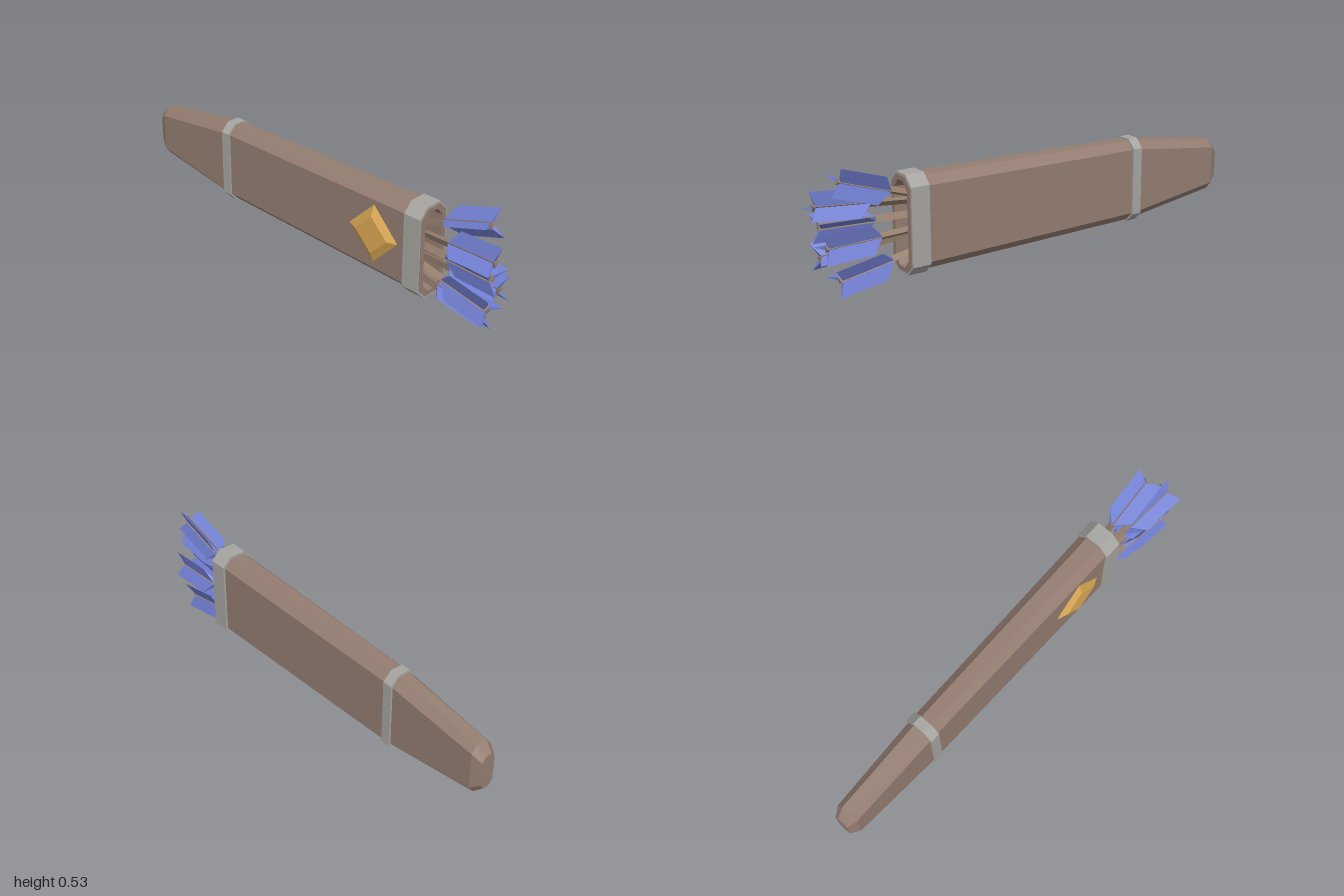
import * as THREE from 'three';

const mat = (name, color, side = THREE.FrontSide) =>
  Object.assign(new THREE.MeshStandardMaterial({ color, side, flatShading: true }), { name });

const CY = 0.246, CZ = -0.021; // centre line of the case

// Chamfered-rectangle ring at x, anticlockwise seen from +x
function ring([x, hy, hz, ky, kz]) {
  return [
    [-hz, -hy + ky], [-hz, hy - ky], [-hz + kz, hy], [hz - kz, hy],
    [hz, hy - ky], [hz, -hy + ky], [hz - kz, -hy], [-hz + kz, -hy],
  ].map(([z, y]) => [x, CY + y, CZ + z]);
}

function fromTriangles(pos) {
  const g = new THREE.BufferGeometry();
  g.setAttribute('position', new THREE.Float32BufferAttribute(pos.flat(), 3));
  g.computeVertexNormals();
  return g;
}

// Skin a list of sections with flat quads; a section of zero height closes an end
function loft(sections) {
  const rings = sections.map(ring), pos = [];
  for (let j = 0; j < rings.length - 1; j++) {
    for (let i = 0; i < 8; i++) {
      const k = (i + 1) % 8;
      const a = rings[j][i], b = rings[j][k], c = rings[j + 1][k], d = rings[j + 1][i];
      if (sections[j][1]) pos.push(a, b, c);
      if (sections[j + 1][1]) pos.push(a, c, d);
    }
  }
  return fromTriangles(pos);
}

// Closed wedge-shaped feather: thick at the shaft, sharp at the outer edge
function featherGeometry() {
  const w = 0.01, y = 0.005, r = 0.068;
  const a = [-0.24, y, w], b = [-0.24, y, -w], p = [-0.01, y, w], q = [-0.01, y, -w];
  const c = [-0.185, r, 0], d = [0.02, r, 0];
  return fromTriangles([
    a, p, d, a, d, c, // one face
    b, d, q, b, c, d, // other face
    p, q, d, b, a, c, // ends
    a, b, q, a, q, p, // base
  ]);
}

export function createModel() {
  const leather = mat('leather', 0x947d71);
  const metal = mat('metal', 0xa6a5a2);
  const gold = mat('gold', 0xdcaa55);
  const feather = mat('feather', 0x7280d4, THREE.DoubleSide);
  const wood = mat('wood', 0x957e6d);

  const model = new THREE.Group();
  model.name = 'quiver';
  const add = (parent, name, geo, m) => {
    const mesh = new THREE.Mesh(geo, m);
    mesh.name = name;
    parent.add(mesh);
    return mesh;
  };

  // Hollow case: closed tip, outer skin, rim, tapering inner wall and floor
  add(model, 'case', loft([
    [-1.0, 0, 0, 0, 0],
    [-1.0, 0.078, 0.032, 0.025, 0.018],
    [-0.96, 0.115, 0.051, 0.032, 0.027],
    [-0.51, 0.179, 0.06, 0.036, 0.034],
    [0.625, 0.197, 0.072, 0.038, 0.038],
    [0.625, 0.178, 0.05, 0.036, 0.03],
    [-0.9, 0.09, 0.03, 0.028, 0.02],
    [-0.9, 0, 0, 0, 0],
  ]), leather);

  // Metal bands around the case
  const band = (name, x0, x1, hy, hz, k, t) => {
    const outer = [hy, hz, k, k], inner = [hy - t, hz - t, k - 0.004, k - 0.004];
    add(model, name, loft([
      [x0, ...outer], [x1, ...outer], [x1, ...inner], [x0, ...inner], [x0, ...outer],
    ]), metal);
  };
  band('mouthBand', 0.54, 0.622, 0.207, 0.08, 0.043, 0.016);
  band('lowerBand', -0.535, -0.49, 0.187, 0.068, 0.039, 0.014);

  // Bevelled diamond ornament on the front
  const ornament = add(model, 'ornament', new THREE.CylinderGeometry(0.085, 0.137, 0.021, 4), gold);
  ornament.rotation.x = Math.PI / 2;
  ornament.position.set(0.375, 0.25, 0.0565);

  // Arrows: nock point, point at the mouth, angle of the first feather
  const featherGeo = featherGeometry();
  const shaftGeo = new THREE.CylinderGeometry(0.017, 0.017, 0.7, 3, 1, false, Math.PI / 2);
  const arrows = [
    [[0.90, 0.466, -0.03], [0.62, 0.375, -0.025], 126],
    [[0.975, 0.358, 0.038], [0.62, 0.332, 0.01], -20],
    [[0.96, 0.28, 0.03], [0.62, 0.272, 0.005], 35],
    [[0.955, 0.205, -0.025], [0.62, 0.212, -0.02], 114],
    [[0.955, 0.147, 0.043], [0.62, 0.185, 0.015], -55],
    [[0.90, 0.062, -0.015], [0.62, 0.11, -0.015], 243],
  ];
  const xAxis = new THREE.Vector3(1, 0, 0);
  for (const [nock, mouth, angle] of arrows) {
    const arrow = new THREE.Group();
    arrow.name = 'arrow';
    const end = new THREE.Vector3(...nock);
    const dir = end.clone().sub(new THREE.Vector3(...mouth)).normalize();
    arrow.position.copy(end);
    arrow.quaternion.setFromUnitVectors(xAxis, dir);
    arrow.rotateX(THREE.MathUtils.degToRad(90 - angle));
    // Three-sided shaft with one feather on each face
    const shaft = add(arrow, 'shaft', shaftGeo, wood);
    shaft.rotation.z = -Math.PI / 2;
    shaft.position.x = -0.35;
    for (let i = 0; i < 3; i++) {
      add(arrow, 'feather', featherGeo, feather).rotation.x = i * Math.PI * 2 / 3;
    }
    model.add(arrow);
  }
  return model;
}
